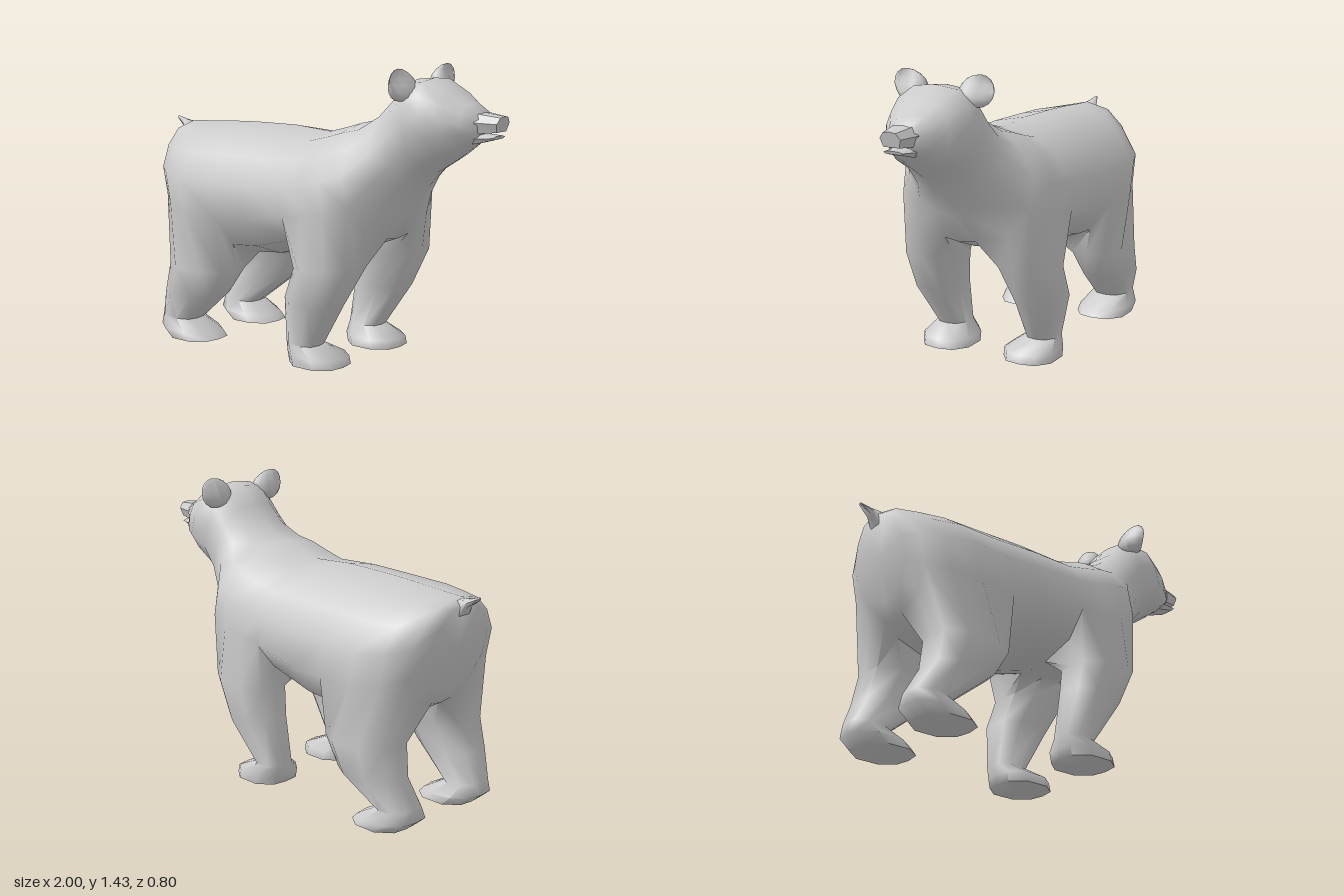
import * as THREE from 'three';
import { mergeGeometries, toCreasedNormals } from 'three/addons/utils/BufferGeometryUtils.js';

const material = new THREE.MeshStandardMaterial({ color: 0xcccccc });

// Half cross-sections from top centre to bottom centre: [share of height, share of half width]
const BODY = [[0, 0], [0.055, 0.45], [0.2, 0.77], [0.4, 1], [0.66, 0.99], [0.88, 0.72], [0.98, 0.24], [1, 0]];
const HEAD = [[0, 0], [0.03, 0.52], [0.19, 0.87], [0.4, 1], [0.68, 1], [0.9, 0.68], [0.98, 0.26], [1, 0]];
const HEX = [[0, 0], [0.06, 0.6], [0.45, 1], [1, 0.75], [1, 0]];

// A station is [xTop, yTop, xBottom, yBottom, halfWidth]
function section([xt, yt, xb, yb, w], profile) {
  return profile.map(([t, s]) => [xt + (xb - xt) * t, yt + (yb - yt) * t, s * w]);
}

const middle = (a, b) => a.map((v, i) => (v + b[i]) / 2);

// Joins neighbouring rows with quads, leaving out those that skip() names
function skin(tris, rows, skip = () => false) {
  for (let i = 0; i < rows.length - 1; i++) {
    for (let j = 0; j < rows[i].length - 1; j++) {
      if (skip(i, j)) continue;
      const a = rows[i][j], b = rows[i + 1][j], c = rows[i + 1][j + 1], d = rows[i][j + 1];
      tris.push(a, d, c, a, c, b);
    }
  }
}

// Closes both ends of a half loft
function capEnds(tris, rows) {
  const first = rows[0], last = rows[rows.length - 1], n = first.length - 1;
  const back = middle(first[0], first[n]), front = middle(last[0], last[n]);
  for (let j = 0; j < n; j++) {
    tris.push(back, first[j + 1], first[j]);
    tris.push(last[j], last[j + 1], front);
  }
}

// Mirrors the left half to the right and smooths all but the sharp edges
function mirrored(tris, crease) {
  const left = new THREE.BufferGeometry();
  left.setAttribute('position', new THREE.Float32BufferAttribute(tris.flat(), 3));
  const flipped = [];
  for (let i = 0; i < tris.length; i += 3) {
    for (const k of [0, 2, 1]) {
      const [x, y, z] = tris[i + k];
      flipped.push(x, y, -z);
    }
  }
  const right = new THREE.BufferGeometry();
  right.setAttribute('position', new THREE.Float32BufferAttribute(flipped, 3));
  return toCreasedNormals(mergeGeometries([left, right]), crease);
}

function named(name, geometry) {
  const mesh = new THREE.Mesh(geometry, material);
  mesh.name = name;
  return mesh;
}

function loftPart(name, stations, crease) {
  const rows = stations.map((s) => section(s, HEX));
  const tris = [];
  skin(tris, rows);
  capEnds(tris, rows);
  return named(name, mirrored(tris, crease));
}

// Ten-sided leg ring: outer side back to front, front, inner side front to back, back
const LEG = [
  [0.03, 0.78], [0.28, 1], [0.7, 1], [0.95, 0.8], [1, 0.5],
  [0.95, 0.2], [0.7, 0], [0.28, 0], [0.03, 0.22], [0, 0.5],
];

function legRing([xBack, xFront, yBack, yFront, zIn, zOut]) {
  return LEG.map(([u, v]) => [
    xBack + (xFront - xBack) * u, yBack + (yFront - yBack) * u, zIn + (zOut - zIn) * v,
  ]);
}

// Grows a leg out of the opening below body rows first..first+3
function addLeg(tris, rows, first, rings) {
  const four = rows.slice(first, first + 4);
  const opening = [
    ...four.map((r) => r[4]), four[3][5], ...four.map((r) => r[6]).reverse(), four[0][5],
  ];
  const all = [opening, ...rings.map(legRing)].map((r) => [...r, r[0]]);
  // Leg rings run downwards, so they join like columns of the body
  for (let i = 0; i < all.length - 1; i++) {
    for (let k = 0; k < LEG.length; k++) {
      const a = all[i][k], b = all[i][k + 1], c = all[i + 1][k + 1], d = all[i + 1][k];
      tris.push(a, d, c, a, c, b);
    }
  }
  const sole = all[all.length - 1];
  const centre = middle(sole[4], sole[9]);
  for (let k = 0; k < LEG.length; k++) tris.push(sole[k], centre, sole[k + 1]);
}

function buildBody() {
  const rows = [
    [-0.925, 1.045, -0.84, 0.62, 0.19],
    [-0.89, 1.07, -0.79, 0.55, 0.275],
    [-0.79, 1.075, -0.7, 0.5, 0.35],
    [-0.66, 1.085, -0.56, 0.46, 0.4],
    [-0.46, 1.095, -0.36, 0.44, 0.385],
    [-0.2, 1.1, -0.22, 0.455, 0.39],
    [0.02, 1.085, 0.03, 0.53, 0.38],
    [0.13, 1.115, 0.16, 0.54, 0.38],
    [0.21, 1.14, 0.3, 0.56, 0.38],
    [0.3, 1.16, 0.43, 0.61, 0.345],
    [0.39, 1.22, 0.5, 0.75, 0.255],
    [0.47, 1.285, 0.57, 0.86, 0.215],
    [0.54, 1.37, 0.65, 0.945, 0.21],
    [0.63, 1.38, 0.75, 1.01, 0.21],
    [0.76, 1.32, 0.8, 1.045, 0.165],
    [0.83, 1.275, 0.85, 1.085, 0.12],
    [0.91, 1.237, 0.895, 1.115, 0.072],
  ].map((s, i) => section(s, i < 11 ? BODY : HEAD));
  const tris = [];
  const underLeg = (i, j) => (j === 4 || j === 5) && ((i >= 1 && i < 4) || (i >= 6 && i < 9));
  skin(tris, rows, underLeg);
  capEnds(tris, rows);
  // Hind leg and paw
  addLeg(tris, rows, 1, [
    [-0.76, -0.375, 0.39, 0.38, 0.115, 0.4],
    [-0.79, -0.46, 0.24, 0.25, 0.145, 0.395],
    [-0.855, -0.66, 0.11, 0.09, 0.14, 0.33],
    [-0.86, -0.55, 0.05, 0.03, 0.1, 0.36],
    [-0.8, -0.52, 0, 0, 0.1, 0.36],
  ]);
  // Front leg and paw
  addLeg(tris, rows, 6, [
    [0.05, 0.39, 0.47, 0.5, 0.115, 0.395],
    [0.01, 0.28, 0.33, 0.3, 0.155, 0.4],
    [-0.02, 0.15, 0.1, 0.09, 0.17, 0.33],
    [-0.01, 0.27, 0.05, 0.04, 0.1, 0.36],
    [0, 0.28, 0, 0, 0.1, 0.36],
  ]);
  return named('bodyWithLegs', mirrored(tris, 1.4));
}

// Rounded ear: a broad base that runs into the head, a thin outer rim, hollow in front
function buildEar(side) {
  const geometry = new THREE.SphereGeometry(1, 12, 8);
  const p = geometry.attributes.position;
  for (let i = 0; i < p.count; i++) {
    const x = p.getX(i), y = p.getY(i), out = p.getZ(i) * side;
    const base = THREE.MathUtils.clamp(0.5 - 0.4 * y - 0.4 * out, 0, 1);
    const depth = x > 0 ? x * (0.09 * base - 0.035 * x * (1 - base)) : x * (0.02 + 0.05 * base);
    const reach = out < 0 ? 0.1 : 0.077;
    p.setXYZ(i, 0.56 + depth, 1.355 + 0.075 * y, side * (0.185 + reach * out + 0.01 * y));
  }
  geometry.computeVertexNormals();
  return named(side > 0 ? 'leftEar' : 'rightEar', geometry);
}

export function createModel() {
  const model = new THREE.Group();
  model.name = 'bear';
  model.add(buildBody());
  model.add(loftPart('muzzle', [
    [0.8, 1.25, 0.8, 1.14, 0.07],
    [0.89, 1.243, 0.89, 1.15, 0.08],
    [1, 1.23, 0.985, 1.16, 0.053],
  ], 0.7));
  model.add(loftPart('lowerJaw', [
    [0.82, 1.15, 0.82, 1.1, 0.05],
    [0.885, 1.146, 0.885, 1.103, 0.065],
    [0.975, 1.142, 0.97, 1.127, 0.05],
  ], 0.7));
  model.add(loftPart('tail', [
    [-1, 1.085, -1, 1.07, 0.006],
    [-0.95, 1.07, -0.94, 1.03, 0.028],
    [-0.88, 1.06, -0.89, 0.95, 0.06],
  ], 1.05));
  for (const side of [1, -1]) model.add(buildEar(side));
  return model;
}
